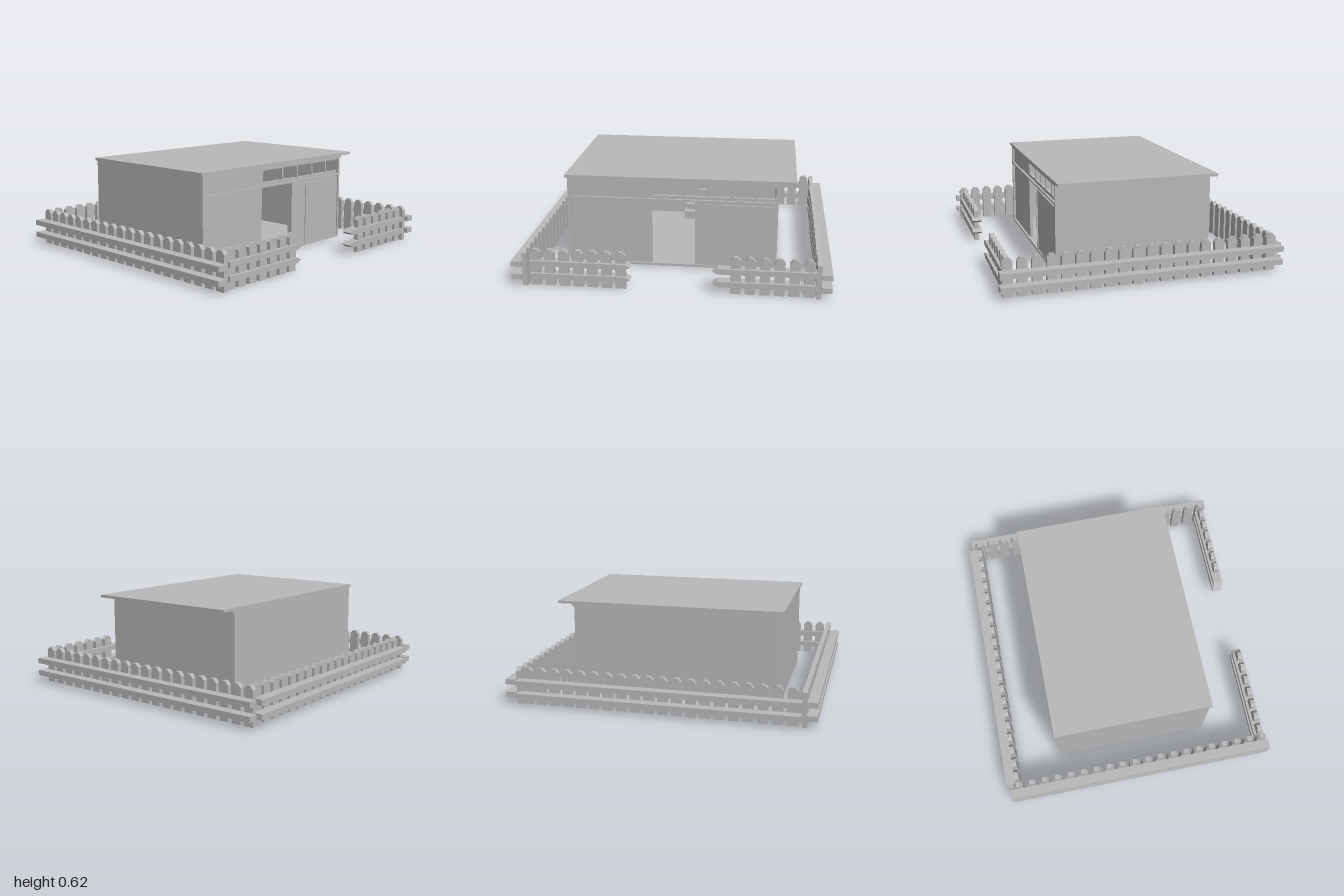
import * as THREE from 'three';

export function createModel() {
  const root = new THREE.Group();
  root.name = 'fencedCabin';
  const grey = new THREE.MeshStandardMaterial({ color: 0xb8b8b8 });

  const add = (parent, name, geo) => {
    const m = new THREE.Mesh(geo, grey);
    m.name = name;
    parent.add(m);
    return m;
  };
  // box given by its limits on each axis
  const box = (parent, name, x0, x1, y0, y1, z0, z1) => {
    const m = add(parent, name, new THREE.BoxGeometry(x1 - x0, y1 - y0, z1 - z0));
    m.position.set((x0 + x1) / 2, (y0 + y1) / 2, (z0 + z1) / 2);
    return m;
  };
  const polygon = (pts) => new THREE.Shape(pts.map(([x, y]) => new THREE.Vector2(x, y)));
  const extrude = (shape, depth) => new THREE.ExtrudeGeometry(shape, { depth, bevelEnabled: false });
  const group = (name) => {
    const g = new THREE.Group();
    g.name = name;
    root.add(g);
    return g;
  };

  // ---- fence ----
  const railLevels = [[0.05, 0.085], [0.135, 0.17]];
  const picketGeo = extrude(
    polygon([[-0.032, 0], [0.032, 0], [0.032, 0.22], [0.012, 0.243], [-0.012, 0.243], [-0.032, 0.22]]), 0.03);

  // long runs: pickets on the inner face of two deep rails, running along local x
  const longFence = (name) => {
    const g = group(name);
    for (const [y0, y1] of railLevels) box(g, 'rail', -0.9, 0.92, y0, y1, 0, 0.065);
    for (let i = 0; i < 20; i++) {
      add(g, 'picket', picketGeo).position.set(-0.842 + i * 0.0899, 0, -0.03);
    }
    return g;
  };
  longFence('frontFence').position.z = 0.932;
  const back = longFence('backFence');
  back.scale.z = -1;
  back.position.z = -0.935;
  const side = longFence('sideFence');
  side.rotation.y = Math.PI / 2;
  side.scale.z = -1;
  side.position.x = -0.86;

  // short runs beside the gate gap, rails ending in a wedge
  const gateFence = (name, zEnd, zTip, firstPicket, count) => {
    const g = group(name);
    const s = Math.sign(zEnd - zTip);
    for (const [y0, y1] of railLevels) {
      const ym = (y0 + y1) / 2;
      const pts = [[-zEnd, y0], [-(zTip + s * 0.032), y0], [-zTip, ym], [-(zTip + s * 0.032), y1], [-zEnd, y1]];
      const rail = add(g, 'pointedRail', extrude(polygon(pts), 0.066));
      rail.rotation.y = Math.PI / 2;
      rail.position.x = 0.832;
    }
    for (let i = 0; i < count; i++) {
      const p = add(g, 'picket', picketGeo);
      p.rotation.y = Math.PI / 2;
      p.position.set(0.85, 0, firstPicket + s * i * 0.0905);
    }
  };
  gateFence('gateFenceFront', 0.882, 0.245, 0.308, 7);
  gateFence('gateFenceBack', -0.908, -0.268, -0.41, 6);

  // ---- cabin shell ----
  const cabin = group('cabin');
  box(cabin, 'floor', -0.53, 0.51, 0.007, 0.022, -0.66, 0.72);
  box(cabin, 'roof', -0.533, 0.519, 0.604, 0.622, -0.773, 0.735);
  box(cabin, 'frontWall', -0.53, 0.51, 0.007, 0.604, 0.695, 0.72);
  box(cabin, 'backWall', -0.53, 0.51, 0.007, 0.604, -0.66, -0.645);
  box(cabin, 'closedSideWall', -0.53, -0.51, 0.007, 0.604, -0.645, 0.695);
  box(cabin, 'eaveBatten', -0.53, 0.51, 0.588, 0.604, -0.675, -0.66);

  // entrance wall with a doorway and a row of high windows
  const hole = (z0, z1, y0, y1) => polygon([[-z0, y0], [-z0, y1], [-z1, y1], [-z1, y0]]);
  const wall = polygon([[-0.695, 0.007], [0.645, 0.007], [0.645, 0.604], [-0.695, 0.604]]);
  const windows = [[0.153, -0.035], [-0.05, -0.195], [-0.207, -0.352], [-0.365, -0.507], [-0.52, -0.643]];
  wall.holes.push(hole(0.165, -0.125, 0.022, 0.465));
  for (const [a, b] of windows) wall.holes.push(hole(a, b, 0.495, 0.575));
  const entrance = add(cabin, 'entranceWall', extrude(wall, 0.02));
  entrance.rotation.y = Math.PI / 2;
  entrance.position.x = 0.475;

  // trim standing proud of the entrance wall
  box(cabin, 'beam', 0.49, 0.51, 0.464, 0.475, -0.645, 0.695);
  box(cabin, 'topTrim', 0.49, 0.51, 0.585, 0.604, -0.645, 0.695);
  box(cabin, 'doorPost', 0.49, 0.51, 0.022, 0.464, -0.132, -0.124);
  box(cabin, 'narrowPanel', 0.49, 0.502, 0.022, 0.445, -0.279, -0.132);
  box(cabin, 'widePanel', 0.49, 0.506, 0.022, 0.445, -0.64, -0.281);

  // ---- small fittings inside, facing the doorway ----
  const inside = group('fittings');
  box(inside, 'lowSeat', -0.45, -0.36, 0.022, 0.08, -0.04, 0.045);
  box(inside, 'seatBox', -0.48, -0.42, 0.08, 0.118, -0.03, 0.035);
  box(inside, 'pedestal', -0.49, -0.43, 0.022, 0.115, -0.125, -0.08);
  box(inside, 'basin', -0.5, -0.41, 0.115, 0.15, -0.125, -0.063);
  box(inside, 'tapStem', -0.49, -0.478, 0.15, 0.22, -0.125, -0.113);
  box(inside, 'shelf', -0.51, -0.46, 0.212, 0.222, -0.125, -0.06);
  const ring = add(inside, 'ring', new THREE.TorusGeometry(0.02, 0.004, 6, 20));
  ring.rotation.y = Math.PI / 2;
  ring.position.set(-0.49, 0.238, -0.098);

  return root;
}
